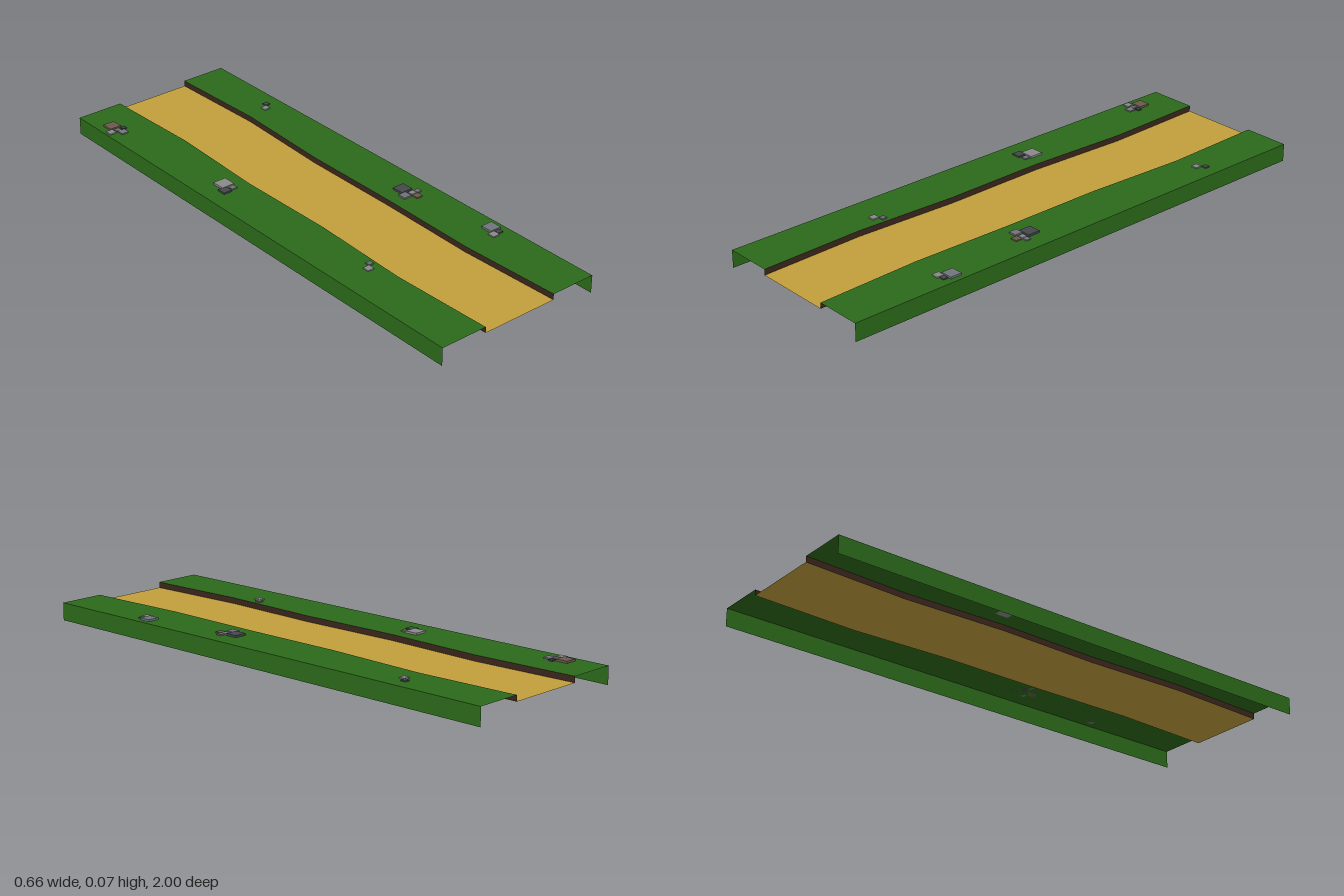
import * as THREE from 'three';

const HALF = 0.332, TOP = 0.067, BED = 0.045;

// Winding path edges: z, left x, right x
const rows = [
  [-1.0, -0.148, 0.154], [-0.6, -0.135, 0.166], [-0.2, -0.152, 0.147],
  [0.2, -0.146, 0.147], [0.6, -0.161, 0.139], [1.0, -0.148, 0.154],
];

const grass = mat(0x2c6a1a), soil = mat(0x3a261c), sand = mat(0xc29f3c);

function mat(color) {
  return new THREE.MeshStandardMaterial({ color, side: THREE.DoubleSide, flatShading: true, roughness: 1 });
}

// Strip of quads between two lines running along z
function strip(name, a, b, material) {
  const pos = [];
  for (let i = 0; i < rows.length - 1; i++) {
    const [a0, a1, b0, b1] = [a(rows[i]), a(rows[i + 1]), b(rows[i]), b(rows[i + 1])];
    pos.push(...a0, ...a1, ...b1, ...a0, ...b1, ...b0);
  }
  const geo = new THREE.BufferGeometry();
  geo.setAttribute('position', new THREE.Float32BufferAttribute(pos, 3));
  geo.computeVertexNormals();
  const mesh = new THREE.Mesh(geo, material);
  mesh.name = name;
  return mesh;
}

// Pebble clusters: x, z, width, color
const clusters = [
  [[-0.28, -0.862, 0.046, 0x6a5a4c], [-0.309, -0.825, 0.028, 0x85878a], [-0.273, -0.8, 0.028, 0x74777c],
    [-0.254, -0.826, 0.018, 0x3f4045], [-0.28, -0.825, 0.02, 0x6c6e70]],
  [[-0.227, -0.249, 0.052, 0x8a8a8a], [-0.252, -0.21, 0.034, 0x46474c], [-0.217, -0.21, 0.022, 0x707278]],
  [[-0.204, 0.503, 0.026, 0x8a8a8a], [-0.181, 0.481, 0.02, 0x66686a]],
  [[0.251, -0.616, 0.025, 0x85878a], [0.274, -0.64, 0.02, 0x46474c]],
  [[0.233, 0.18, 0.048, 0x46474c], [0.209, 0.22, 0.032, 0x707278], [0.243, 0.22, 0.022, 0x85878a],
    [0.266, 0.222, 0.02, 0x707278], [0.243, 0.247, 0.026, 0x6a5a4c]],
  [[0.288, 0.57, 0.046, 0x70747c], [0.264, 0.608, 0.028, 0x8a8a8a], [0.29, 0.605, 0.02, 0x46474c]],
];

export function createModel() {
  const group = new THREE.Group();
  group.name = 'pathTile';

  // Cross-section from the left skirt over the sunken path to the right skirt
  const line = [
    ([z]) => [-HALF, 0, z], ([z]) => [-HALF, TOP, z],
    ([z, l]) => [l, TOP, z], ([z, l]) => [l, BED, z],
    ([z, , r]) => [r, BED, z], ([z, , r]) => [r, TOP, z],
    ([z]) => [HALF, TOP, z], ([z]) => [HALF, 0, z],
  ];
  const parts = [
    ['outerSkirtRight', grass], ['grassRight', grass], ['bankRight', soil], ['pathBed', sand],
    ['bankLeft', soil], ['grassLeft', grass], ['outerSkirtLeft', grass],
  ];
  parts.forEach(([name, m], i) => group.add(strip(name, line[i], line[i + 1], m)));

  // Flat square pebbles lying on the grass
  clusters.forEach((stones, i) => {
    const cluster = new THREE.Group();
    cluster.name = `pebbleCluster${i + 1}`;
    for (const [x, z, w, color] of stones) {
      const h = w > 0.04 ? 0.0075 : w > 0.03 ? 0.006 : 0.0045;
      const stone = new THREE.Mesh(
        new THREE.BoxGeometry(w, h, w),
        new THREE.MeshStandardMaterial({ color, roughness: 1, flatShading: true }));
      stone.position.set(x, TOP + h / 2, z);
      stone.name = 'pebble';
      cluster.add(stone);
    }
    group.add(cluster);
  });
  return group;
}
